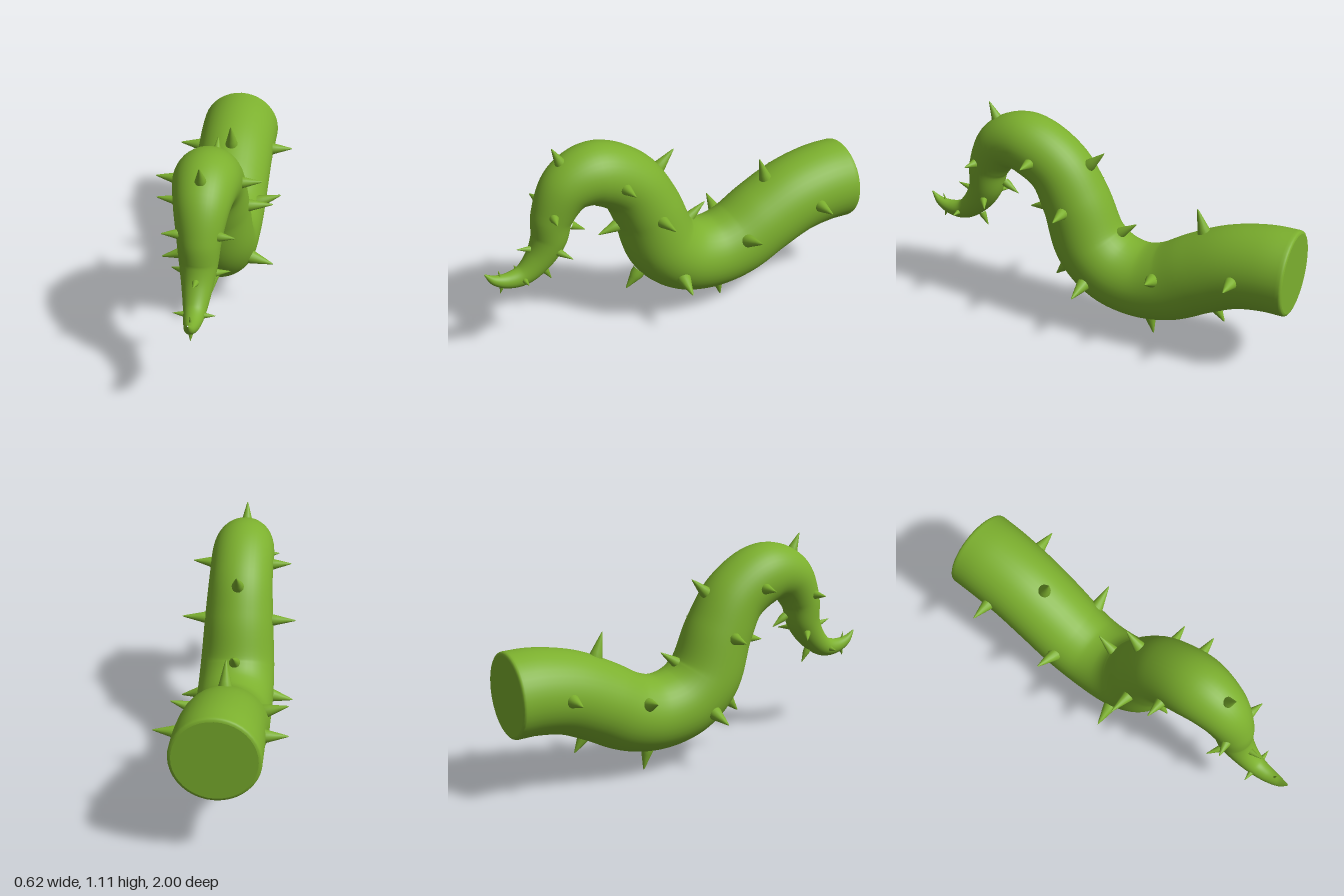
import * as THREE from 'three';

const skin = new THREE.MeshStandardMaterial({ color: 0x7cb02e });
skin.name = 'vine green';

// Centreline of the body as [radius, y, z], from the cut end to the curled tip
const path = new THREE.CatmullRomCurve3([
  [0.208, 0.523, -1], [0.207, 0.522, -0.87], [0.203, 0.49, -0.7], [0.2, 0.415, -0.53],
  [0.195, 0.33, -0.37], [0.19, 0.3, -0.22], [0.19, 0.335, -0.06], [0.186, 0.44, 0.06],
  [0.172, 0.66, 0.145], [0.16, 0.83, 0.245], [0.155, 0.925, 0.42], [0.132, 0.89, 0.555],
  [0.103, 0.76, 0.64], [0.088, 0.64, 0.665], [0.07, 0.545, 0.72], [0.052, 0.476, 0.8],
  [0.039, 0.465, 0.88], [0.024, 0.487, 0.95], [0.003, 0.534, 0.998],
].map(p => new THREE.Vector3(...p)));

// Tapering tube swept along the path; its first rings form a small bevel
function bodyGeometry(steps = 150, sides = 40) {
  const rings = [[0, 0, 0.016], [0, 0.002, 0.009], [0, 0.006, 0.003], [0, 0.014, 0]];
  for (let i = 2; i <= steps; i++) rings.push([i / steps, 0, 0]);
  const pos = [], index = [];
  rings.forEach(([t, shift, inset], i) => {
    const p = path.getPoint(t), d = path.getTangent(t);
    const len = Math.hypot(d.y, d.z);
    const ny = t === 0 ? 1 : d.z / len, nz = t === 0 ? 0 : -d.y / len;
    const r = p.x - inset;
    for (let j = 0; j < sides; j++) {
      const a = j / sides * Math.PI * 2, s = Math.sin(a) * r;
      pos.push(Math.cos(a) * r, p.y + s * ny, p.z + shift + s * nz);
      if (i === rings.length - 1) continue;
      const k = i * sides + j, n = i * sides + (j + 1) % sides;
      index.push(k, n, k + sides, n, n + sides, k + sides);
    }
  });
  const g = new THREE.BufferGeometry();
  g.setAttribute('position', new THREE.Float32BufferAttribute(pos, 3));
  g.setIndex(index);
  g.computeVertexNormals();
  return g;
}

// Unit-height thorn with a slightly swollen foot
const thornGeometry = new THREE.LatheGeometry(
  [[1.05, -0.3], [1, 0], [0.76, 0.25], [0.42, 0.62], [0.12, 0.94], [0, 1]]
    .map(p => new THREE.Vector2(...p)), 16);

function thorn(base, tip, radius) {
  const dir = tip.clone().sub(base), length = dir.length();
  const mesh = new THREE.Mesh(thornGeometry, skin);
  mesh.name = 'thorn';
  mesh.position.copy(base);
  mesh.quaternion.setFromUnitVectors(new THREE.Vector3(0, 1, 0), dir.normalize());
  mesh.scale.set(radius, length, radius);
  return mesh;
}

// Thorns on the middle plane: base z, y, tip z, y, foot radius
const middleThorns = [
  [0.585, 1.02, 0.627, 1.108, 0.028], [0.068, 0.873, -0.008, 0.946, 0.03],
  [-0.085, 0.525, -0.185, 0.6, 0.032], [-0.54, 0.635, -0.5, 0.757, 0.034],
  [-0.61, 0.25, -0.665, 0.17, 0.034], [-0.265, 0.11, -0.287, 0.002, 0.033],
  [0.205, 0.285, 0.265, 0.217, 0.033], [0.315, 0.6, 0.407, 0.577, 0.029],
  [0.755, 0.603, 0.83, 0.622, 0.018], [0.535, 0.668, 0.475, 0.63, 0.02],
  [0.69, 0.46, 0.663, 0.408, 0.017], [0.915, 0.445, 0.928, 0.405, 0.013],
  [0.92, 0.495, 0.93, 0.538, 0.008],
];

// Mirrored side thorns: base x, y, z, tip x, y, z, foot radius
const sideThorns = [
  [0.2, 0.514, -0.755, 0.308, 0.52, -0.757, 0.032],
  [0.17, 0.41, -0.345, 0.285, 0.45, -0.358, 0.034],
  [0.175, 0.297, 0.025, 0.285, 0.27, 0.035, 0.034],
  [0.168, 0.663, 0.14, 0.287, 0.67, 0.13, 0.03],
  [0.153, 0.888, 0.325, 0.25, 0.896, 0.322, 0.028],
  [0.098, 0.797, 0.67, 0.167, 0.802, 0.685, 0.022],
  [0.075, 0.588, 0.64, 0.137, 0.575, 0.6, 0.018],
  [0.045, 0.47, 0.815, 0.097, 0.472, 0.815, 0.014],
];

export function createModel() {
  const model = new THREE.Group();
  model.name = 'thornyTentacle';

  const body = new THREE.Mesh(bodyGeometry(), skin);
  body.name = 'body';
  model.add(body);

  // Flat disc closing the cut end
  const cap = new THREE.Mesh(new THREE.CircleGeometry(0.192, 40), skin);
  cap.name = 'endCap';
  cap.rotation.y = Math.PI;
  cap.position.set(0, 0.523, -1);
  model.add(cap);

  const thorns = new THREE.Group();
  thorns.name = 'thorns';
  const v = (x, y, z) => new THREE.Vector3(x, y, z);
  for (const [bz, by, tz, ty, r] of middleThorns) thorns.add(thorn(v(0, by, bz), v(0, ty, tz), r));
  for (const [bx, by, bz, tx, ty, tz, r] of sideThorns)
    for (const s of [-1, 1]) thorns.add(thorn(v(s * bx, by, bz), v(s * tx, ty, tz), r));
  model.add(thorns);
  return model;
}
